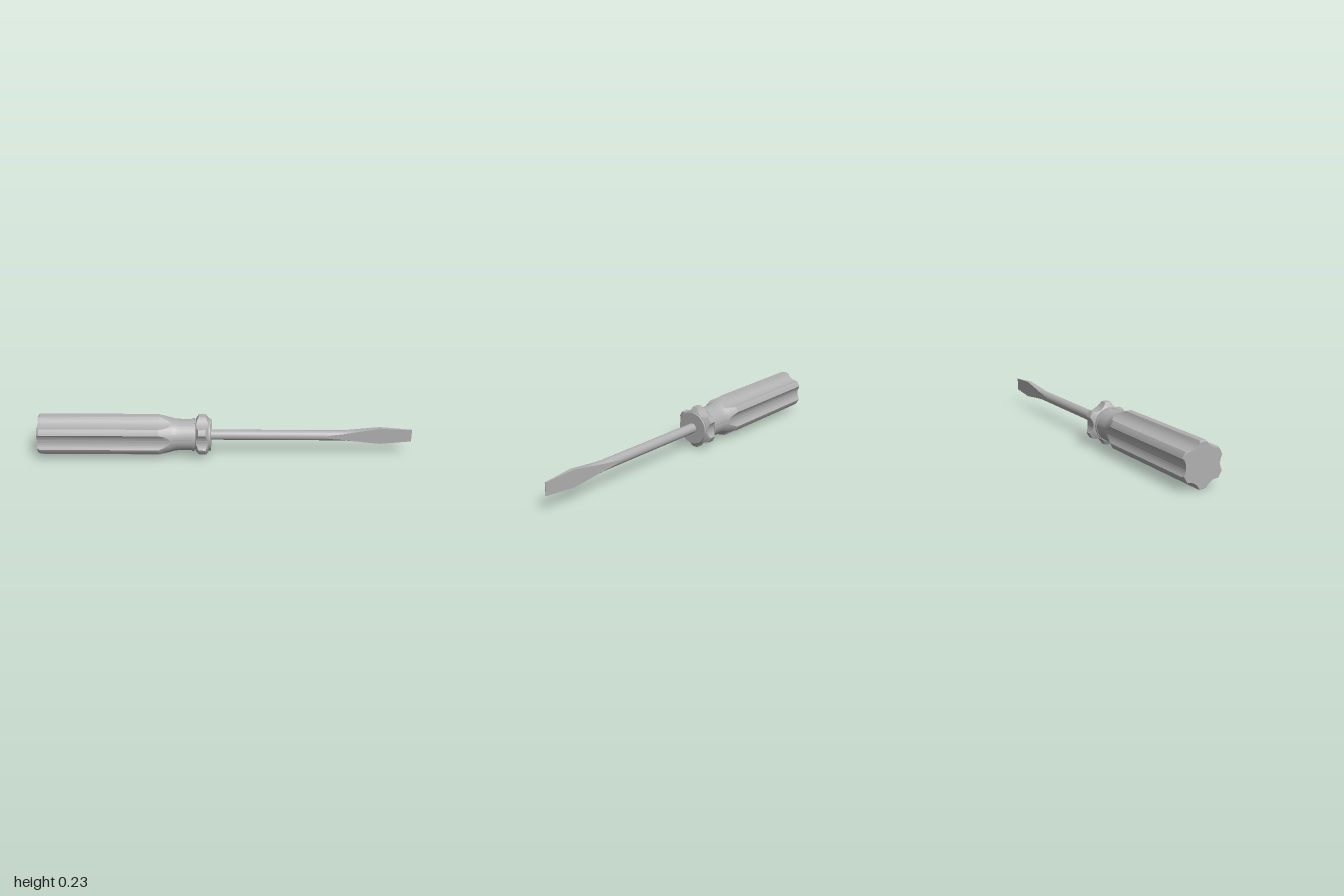
import * as THREE from 'three';
import { toCreasedNormals } from 'three/addons/utils/BufferGeometryUtils.js';

const R = 0.115, SHAFT = 0.0275;
const GROOVE_C = 0.158, GROOVE_R = 0.066, LOBE = THREE.MathUtils.degToRad(8.6);

// Closed skin over equal-length [x, y, z] rings that advance along +x
function loft(rings, crease) {
  const n = rings[0].length, pos = rings.flat(2), index = [];
  for (let i = 0; i < rings.length - 1; i++) {
    for (let j = 0; j < n; j++) {
      const a = i * n + j, b = i * n + (j + 1) % n;
      index.push(a, b, a + n, b, b + n, a + n);
    }
  }
  const last = (rings.length - 1) * n, c0 = rings.length * n;
  pos.push(rings[0][0][0], 0, 0, rings[rings.length - 1][0][0], 0, 0);
  for (let j = 0; j < n; j++) {
    const k = (j + 1) % n;
    index.push(c0, k, j, c0 + 1, last + j, last + k);
  }
  const g = new THREE.BufferGeometry();
  g.setAttribute('position', new THREE.Float32BufferAttribute(pos, 3));
  g.setIndex(index);
  return toCreasedNormals(g, crease);
}

// Angles round the grip, with samples exactly on the six lobe edges
const angles = [];
for (let s = 0; s < 6; s++) {
  const base = s * Math.PI / 3;
  for (let i = 0; i < 4; i++) angles.push(base - LOBE + i * LOBE / 2);
  const span = Math.PI / 3 - 2 * LOBE;
  for (let i = 0; i < 20; i++) angles.push(base + LOBE + span * i / 20);
}

// Radius left after cutting the six round flutes
function flutedRadius(a) {
  const sector = Math.PI / 3;
  const d = ((a % sector) + sector) % sector - sector / 2;
  const s = GROOVE_C * Math.sin(d);
  if (Math.abs(d) >= sector / 2 - LOBE + 1e-6) return R;
  return GROOVE_C * Math.cos(d) - Math.sqrt(GROOVE_R ** 2 - s * s);
}

// Turned profile of [x, radius] with the flutes cut into it
function fluted(profile, steps) {
  const rings = [];
  const ring = (x, r) => rings.push(angles.map(a => {
    const q = Math.min(r, flutedRadius(a));
    return [x, q * Math.cos(a), q * Math.sin(a)];
  }));
  for (let i = 0; i < profile.length - 1; i++) {
    const [x0, r0] = profile[i], [x1, r1] = profile[i + 1];
    const n = r0 === r1 ? 1 : steps;
    for (let k = 0; k < n; k++) ring(x0 + (x1 - x0) * k / n, r0 + (r1 - r0) * k / n);
  }
  ring(...profile[profile.length - 1]);
  return loft(rings, 0.3);
}

// Flattened blade: round at the shaft, widening to a thin flat tip
function bladeGeometry() {
  const X0 = 0.53, rings = [], M = 12, F = 6;
  const xs = [];
  for (let i = 0; i <= 30; i++) xs.push(X0 + 0.3 * i / 30);
  xs.push(1);
  for (const x of xs) {
    const h = THREE.MathUtils.lerp(SHAFT, 0.0022, (x - X0) / (1 - X0));
    const t = THREE.MathUtils.clamp((x - 0.62) / 0.21, 0, 1) ** 1.3;
    const w = x > 0.84 ? 0.034 : 0.045;
    const phi = Math.asin(Math.min(1, h / SHAFT));
    const side = p => THREE.MathUtils.lerp(SHAFT * Math.cos(p), w, t);
    const e = side(phi), ring = [];
    for (const s of [1, -1]) {
      for (let i = 0; i < M; i++) {
        const p = phi * (2 * i / M - 1);
        ring.push([x, s * side(p), s * SHAFT * Math.sin(p)]);
      }
      for (let i = 0; i < F; i++) ring.push([x, s * e * (1 - 2 * i / F), s * h]);
    }
    rings.push(ring);
  }
  return loft(rings, 0.3);
}

export function createModel() {
  const group = new THREE.Group();
  const grey = new THREE.MeshStandardMaterial({ color: 0xb0b0b0 });
  grey.name = 'plain grey';
  const add = (name, geometry, x = 0) => {
    const mesh = new THREE.Mesh(geometry, grey);
    mesh.name = name;
    mesh.position.set(x, R, 0);
    group.add(mesh);
  };
  const rod = (name, r, x0, x1) =>
    add(name, new THREE.CylinderGeometry(r, r, x1 - x0, 48).rotateZ(-Math.PI / 2), (x0 + x1) / 2);

  // Fluted grip tapering into a round neck
  add('handle', fluted([
    [-1, 0.109], [-0.988, R], [-0.355, R], [-0.28, 0.0885],
    [-0.262, 0.0855], [-0.24, 0.0845], [-0.178, 0.0845],
  ], 12));
  rod('neckRim', 0.088, -0.178, -0.166);
  rod('neckGroove', 0.082, -0.166, -0.155);

  // Six-lobed collar with chamfered ends, and its front flange
  add('collar', fluted([
    [-0.158, 0.088], [-0.143, R], [-0.105, R], [-0.09, 0.088],
  ], 8));
  rod('collarFlange', 0.086, -0.09, -0.078);

  // Steel
  rod('shaft', SHAFT, -0.08, 0.53);
  add('blade', bladeGeometry());
  return group;
}
